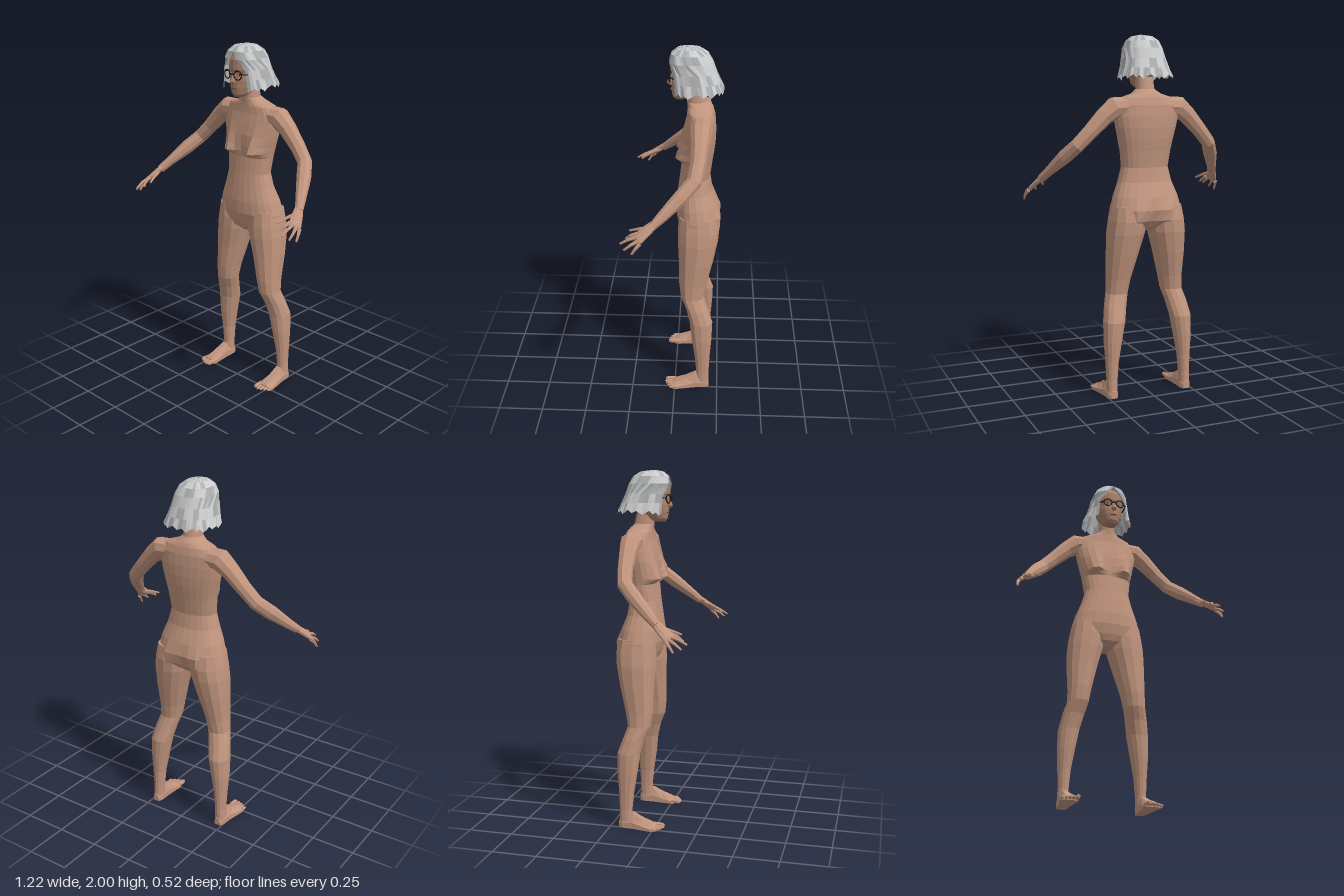
import * as THREE from 'three';

const mat = (name, color, extra = {}) => {
  const m = new THREE.MeshStandardMaterial({ color, flatShading: true, ...extra });
  m.name = name;
  return m;
};
const V = (x, y, z) => new THREE.Vector3(x, y, z);

// Capped skin over closed rings of points; winding is fixed by the signed volume
function loft(rings) {
  const n = rings[0].length, pts = rings.flat(), idx = [];
  for (let r = 0; r < rings.length - 1; r++) {
    for (let i = 0; i < n; i++) {
      const a = r * n + i, b = r * n + (i + 1) % n;
      idx.push(a, b, a + n, b, b + n, a + n);
    }
  }
  [0, rings.length - 1].forEach((r, end) => {
    const c = pts.length;
    pts.push(rings[r].reduce((s, p) => s.add(p), V(0, 0, 0)).divideScalar(n));
    for (let i = 0; i < n; i++) {
      const a = r * n + i, b = r * n + (i + 1) % n;
      end ? idx.push(a, b, c) : idx.push(b, a, c);
    }
  });
  let vol = 0;
  for (let i = 0; i < idx.length; i += 3) {
    vol += pts[idx[i]].dot(pts[idx[i + 1]].clone().cross(pts[idx[i + 2]]));
  }
  if (vol < 0) idx.reverse();
  const g = new THREE.BufferGeometry().setFromPoints(pts);
  g.setIndex(idx);
  g.computeVertexNormals();
  return g;
}

// Horizontal ring: half width, front z and back z, with paired bumps front and back
function ring(y, cx, rx, zf, zb, sides, front = 0, back = 0) {
  return Array.from({ length: sides }, (_, i) => {
    const a = (i / sides) * Math.PI * 2, c = Math.cos(a);
    const x = rx * Math.sin(a);
    let z = (zf + zb) / 2 + (zf - zb) / 2 * Math.sign(c) * Math.abs(c) ** 0.8;
    const bump = Math.exp(-(((Math.abs(x) - 0.09) / 0.042) ** 2));
    z += c > 0.05 ? front * bump : c < -0.05 ? -back * bump : 0;
    return V(cx + x, y, z);
  });
}

// Tapered limb along [x, y, z, r1, r2] stations; r1 lies along ref
function limb(path, sides, ref, s = 1) {
  const p = path.map(q => V(q[0] * s, q[1], q[2]));
  const w = V(ref[0] * s, ref[1], ref[2]);
  return loft(path.map((q, k) => {
    const t = p[Math.min(k + 1, p.length - 1)].clone().sub(p[Math.max(k - 1, 0)]).normalize();
    const u = w.clone().addScaledVector(t, -w.dot(t)).normalize();
    const v = t.clone().cross(u);
    return Array.from({ length: sides }, (_, i) => {
      const a = (i + 0.5) / sides * Math.PI * 2;
      return p[k].clone().addScaledVector(u, q[3] * Math.cos(a)).addScaledVector(v, (q[4] ?? q[3]) * Math.sin(a));
    });
  }));
}

// Bob of hair open at the face, split into light and grey locks
function hairGeometry() {
  // y, half width, front z, back z, half angle of the face opening
  const rows = [[1.999, 0.004, -0.045, -0.06, 0], [1.99, 0.055, 0.0, -0.13, 0], [1.965, 0.086, 0.03, -0.168, 0],
    [1.925, 0.104, 0.043, -0.192, 0.22], [1.87, 0.115, 0.043, -0.212, 0.68], [1.82, 0.128, 0.036, -0.235, 0.64],
    [1.772, 0.146, 0.028, -0.255, 0.58]];
  const n = 36, pts = [], sets = [[], []];
  rows.forEach(([y, rx, zf, zb, open], r) => {
    for (let i = 0; i <= n; i++) {
      const a = open + (i / n) * (Math.PI * 2 - 2 * open), c = Math.cos(a), sn = Math.sin(a);
      const jag = r === rows.length - 1 ? ((i * 7) % 5 - 2) * 0.006 - 0.012 * Math.max(0, c) : 0;
      const lock = 1 + (r > 1 ? 0.02 * (i % 3 - 1) : 0);
      pts.push(V(rx * lock * Math.sign(sn) * Math.abs(sn) ** 0.85, y + jag,
        (zf + zb) / 2 + (zf - zb) / 2 * Math.sign(c) * Math.abs(c) ** 0.8));
    }
  });
  for (let r = 0; r < rows.length - 1; r++) {
    for (let i = 0; i < n; i++) {
      const a = r * (n + 1) + i, b = a + n + 1;
      sets[(i * 13 + r * 5 + ((i * r) % 7)) % 5 < 2 ? 1 : 0].push(a, b, a + 1, a + 1, b, b + 1);
    }
  }
  const g = new THREE.BufferGeometry().setFromPoints(pts);
  g.setIndex([...sets[0], ...sets[1]]);
  g.addGroup(0, sets[0].length, 0);
  g.addGroup(sets[0].length, sets[1].length, 1);
  g.computeVertexNormals();
  return g;
}

export function createModel() {
  const model = new THREE.Group();
  model.name = 'standingWoman';
  const skin = mat('skin', 0xc0947d), faceSkin = mat('face skin', 0xa97f69);
  const hairLight = mat('light grey hair', 0xcbcccd, { side: THREE.DoubleSide });
  const hairGrey = mat('mid grey hair', 0xabadaf, { side: THREE.DoubleSide });
  const frame = mat('glasses frame', 0x1d1918), lip = mat('lips', 0x85544a);
  const white = mat('eye white', 0xd8d2ca), iris = mat('iris', 0x3a2a22);
  const add = (name, geo, material, parent = model) => {
    const m = new THREE.Mesh(geo, material);
    m.name = name;
    parent.add(m);
    return m;
  };

  // Neck, chest and pelvis: y, half width, front z, back z, front bump, back bump
  const torso = [[1.77, 0.046, -0.045, -0.15], [1.705, 0.05, -0.055, -0.165], [1.68, 0.085, -0.058, -0.19],
    [1.66, 0.15, -0.058, -0.2], [1.62, 0.188, -0.055, -0.21], [1.56, 0.186, -0.042, -0.215, 0.004],
    [1.5, 0.175, -0.032, -0.215, 0.014], [1.44, 0.16, -0.03, -0.21, 0.036], [1.405, 0.152, -0.03, -0.205, 0.05],
    [1.385, 0.148, -0.03, -0.202, 0.018], [1.375, 0.146, -0.03, -0.2], [1.28, 0.134, -0.02, -0.188],
    [1.2, 0.155, -0.01, -0.2], [1.12, 0.186, 0, -0.232], [1.05, 0.205, 0, -0.245, 0, 0.018],
    [0.99, 0.205, -0.015, -0.225, 0, 0.035], [0.955, 0.13, -0.03, -0.2, 0, 0.02], [0.93, 0.05, -0.06, -0.17]];
  add('torso', loft(torso.map(([y, rx, zf, zb, f, b]) => ring(y, 0, rx, zf, zb, 24, f, b))), skin);

  // Head
  const head = [[1.718, 0.026, 0.012, -0.05], [1.735, 0.044, 0.024, -0.09], [1.77, 0.06, 0.028, -0.13],
    [1.81, 0.073, 0.027, -0.155], [1.845, 0.077, 0.022, -0.165], [1.87, 0.078, 0.032, -0.168],
    [1.92, 0.075, 0.027, -0.165], [1.96, 0.055, 0.0, -0.13], [1.98, 0.02, -0.03, -0.08]];
  add('head', loft(head.map(([y, rx, zf, zb]) => ring(y, 0, rx, zf, zb, 18))), faceSkin);
  add('nose', limb([[0, 1.855, 0.02, 0.007], [0, 1.825, 0.034, 0.01], [0, 1.808, 0.039, 0.016], [0, 1.797, 0.027, 0.013]],
    6, [1, 0, 0]), faceSkin);
  const mouth = add('mouth', new THREE.SphereGeometry(1, 8, 5), lip);
  mouth.scale.set(0.024, 0.006, 0.006);
  mouth.position.set(0, 1.768, 0.027);
  add('hair', hairGeometry(), [hairLight, hairGrey]);

  // Glasses bridge
  const bridge = add('glassesBridge', new THREE.BoxGeometry(0.026, 0.006, 0.005), frame);
  bridge.position.set(0, 1.846, 0.041);

  for (const s of [1, -1]) {
    const side = new THREE.Group();
    side.name = s > 0 ? 'leftSide' : 'rightSide';
    model.add(side);

    // Eye, lens rim and temple
    const eye = add('eye', new THREE.SphereGeometry(1, 8, 6), white, side);
    eye.scale.set(0.013, 0.007, 0.007);
    eye.position.set(0.037 * s, 1.842, 0.013);
    const pupil = add('iris', new THREE.CylinderGeometry(0.006, 0.006, 0.004, 8).rotateX(Math.PI / 2), iris, side);
    pupil.position.set(0.037 * s, 1.842, 0.02);
    const rim = add('lensRim', new THREE.TorusGeometry(0.024, 0.0035, 5, 16), frame, side);
    rim.position.set(0.038 * s, 1.842, 0.037);
    rim.rotation.y = 0.2 * s;
    add('temple', limb([[0.062, 1.848, 0.032, 0.004], [0.084, 1.848, 0.01, 0.004], [0.082, 1.845, -0.08, 0.004]],
      4, [0, 1, 0], s), frame, side);
    add('ear', limb([[0.078, 1.865, -0.07, 0.014, 0.008], [0.08, 1.83, -0.068, 0.017, 0.009], [0.074, 1.795, -0.06, 0.008, 0.006]],
      6, [0, 0, 1], s), faceSkin, side);

    // Arm from shoulder to wrist
    add('arm', limb([[0.12, 1.61, -0.135, 0.06, 0.055], [0.19, 1.605, -0.135, 0.06, 0.062], [0.25, 1.558, -0.132, 0.05],
      [0.33, 1.475, -0.125, 0.042], [0.395, 1.405, -0.108, 0.041, 0.039], [0.445, 1.34, -0.04, 0.04],
      [0.505, 1.255, 0.055, 0.029, 0.026], [0.532, 1.215, 0.1, 0.021, 0.024]], 9, [0, 0, 1], s), skin, side);

    // Hand
    const across = [0.08, -0.05, -0.04];
    add('palm', limb([[0.525, 1.227, 0.09, 0.022, 0.018], [0.543, 1.2, 0.125, 0.031, 0.016], [0.567, 1.162, 0.172, 0.036, 0.013],
      [0.57, 1.157, 0.18, 0.03, 0.008]], 8, across, s), skin, side);
    const fingers = [[[0.541, 1.176, 0.18], [0.538, 1.165, 0.212], [0.524, 1.14, 0.238]],
      [[0.558, 1.167, 0.178], [0.562, 1.153, 0.222], [0.56, 1.128, 0.265]],
      [[0.575, 1.155, 0.17], [0.587, 1.135, 0.208], [0.59, 1.108, 0.243]],
      [[0.589, 1.146, 0.16], [0.6, 1.122, 0.183], [0.604, 1.092, 0.203]],
      [[0.53, 1.205, 0.115], [0.51, 1.19, 0.168], [0.488, 1.168, 0.221]]];
    fingers.forEach((f, i) => add(i < 4 ? 'finger' : 'thumb',
      limb(f.map((q, k) => [...q, 0.0115 - 0.003 * k]), 6, across, s), skin, side));

    // Leg: y, centre x, centre z, half width, half depth
    const leg = [[1.07, 0.12, -0.125, 0.08, 0.105], [0.99, 0.114, -0.128, 0.102, 0.116], [0.92, 0.123, -0.125, 0.102, 0.113],
      [0.8, 0.141, -0.116, 0.086, 0.097], [0.66, 0.158, -0.1, 0.066, 0.078], [0.58, 0.167, -0.098, 0.06, 0.066],
      [0.51, 0.186, -0.125, 0.061, 0.062], [0.43, 0.202, -0.15, 0.059, 0.066], [0.32, 0.213, -0.155, 0.049, 0.058],
      [0.2, 0.22, -0.16, 0.035, 0.044], [0.1, 0.222, -0.163, 0.029, 0.037], [0.03, 0.224, -0.163, 0.03, 0.037]];
    add('leg', loft(leg.map(([y, cx, cz, rx, rz]) => ring(y, cx * s, rx, cz + rz, cz - rz, 12))), skin, side);

    // Foot: z, centre x, half width, height
    const foot = [[-0.202, 0.224, 0.018, 0.04], [-0.18, 0.224, 0.03, 0.07], [-0.12, 0.226, 0.033, 0.085],
      [-0.06, 0.23, 0.041, 0.055], [-0.01, 0.231, 0.049, 0.036], [0.015, 0.232, 0.046, 0.024]];
    add('foot', loft(foot.map(([z, cx, w, h]) => [[-1, 0], [-1, 0.45], [-0.5, 1], [0.35, 1], [1, 0.4], [1, 0]]
      .map(([a, b]) => V((cx + a * w) * s, b * h, z)))), skin, side);
    [0.055, 0.058, 0.052, 0.042, 0.03].forEach((tip, i) => {
      const x = 0.194 + i * 0.0195, r = i ? 0.009 : 0.013;
      add('toe', limb([[x, r + 0.003, -0.005, r], [x + 0.001, r + 0.002, tip - 0.014, r], [x + 0.002, r, tip, r * 0.6]],
        6, [1, 0, 0], s), skin, side);
    });
  }
  return model;
}
